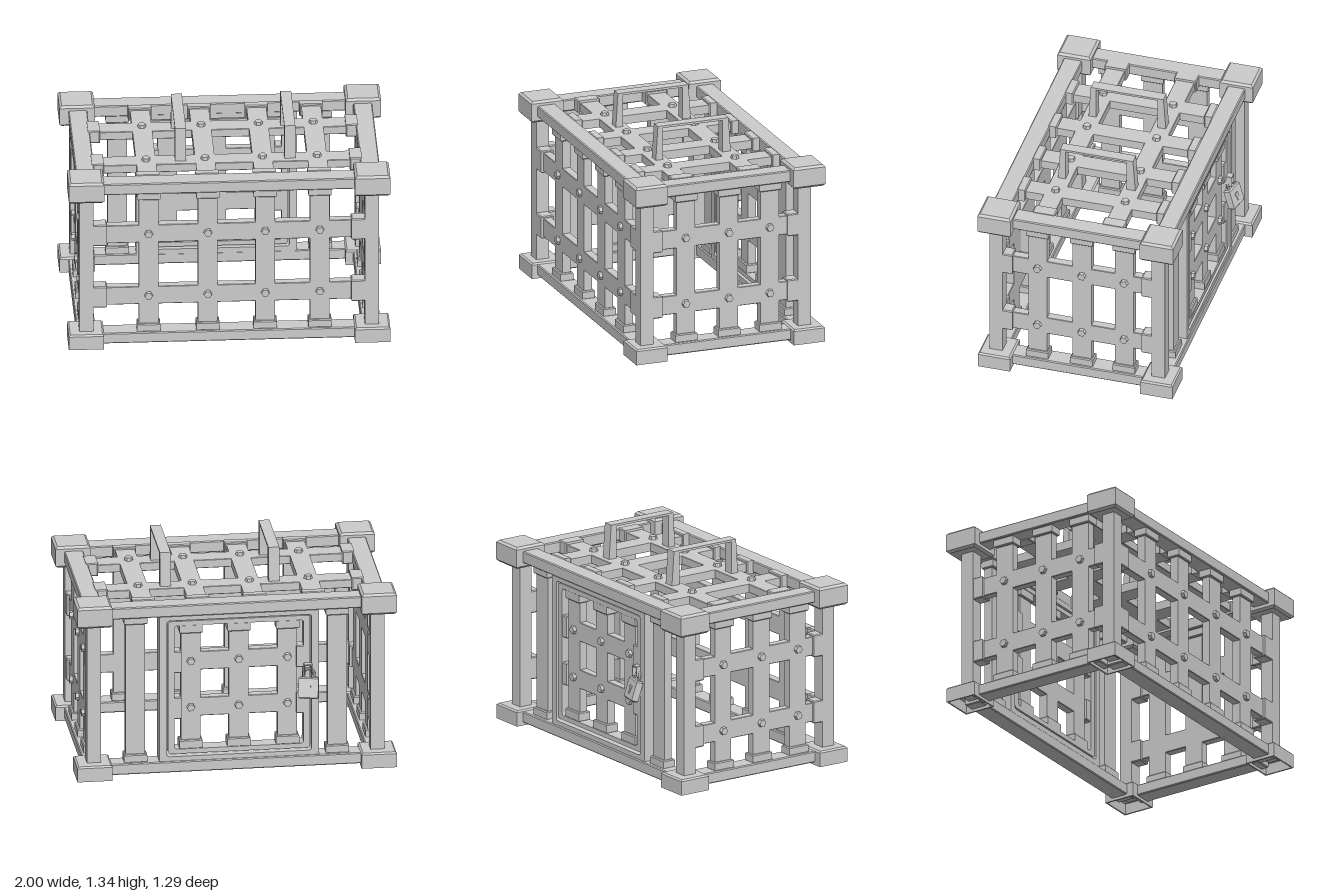
import * as THREE from 'three';

const mat = new THREE.MeshStandardMaterial({ color: 0xcccccc, flatShading: true });

function add(parent, name, geo, x = 0, y = 0, z = 0) {
  const m = new THREE.Mesh(geo, mat);
  m.name = name;
  m.position.set(x, y, z);
  parent.add(m);
  return m;
}

function rect(x0, x1, y0, y1, Type = THREE.Shape) {
  const pts = [[x0, y0], [x1, y0], [x1, y1], [x0, y1]];
  return new Type(pts.map((p) => new THREE.Vector2(...p)));
}

// Box with chamfered edges, centred on the origin
function chamferBox(w, h, d, c = 0.006) {
  const g = new THREE.ExtrudeGeometry(rect(-w / 2 + c, w / 2 - c, -d / 2 + c, d / 2 - c), {
    depth: h - 2 * c, bevelEnabled: true, bevelSize: c, bevelThickness: c, bevelSegments: 1,
  });
  g.rotateX(-Math.PI / 2);
  g.translate(0, -h / 2 + c, 0);
  return g;
}

// Box given by its limits on each axis
function span(parent, name, [x0, x1], [y0, y1], [z0, z1], c) {
  return add(parent, name, chamferBox(x1 - x0, y1 - y0, z1 - z0, c), (x0 + x1) / 2, (y0 + y1) / 2, (z0 + z1) / 2);
}

// Rounded outline for the door frames
function roundRect(x0, x1, y0, y1, r, Type) {
  const s = new Type();
  s.moveTo(x0 + r, y0).lineTo(x1 - r, y0).quadraticCurveTo(x1, y0, x1, y0 + r);
  s.lineTo(x1, y1 - r).quadraticCurveTo(x1, y1, x1 - r, y1).lineTo(x0 + r, y1);
  s.quadraticCurveTo(x0, y1, x0, y1 - r).lineTo(x0, y0 + r).quadraticCurveTo(x0, y0, x0 + r, y0);
  return s;
}

// Flat lattice of crossing bars with end sleeves and hexagonal bolts, facing +z
function lattice(name, us, vs, [u0, u1], [v0, v1], capU = 0.075, capV = 0.055) {
  const g = new THREE.Group();
  g.name = name;
  const w = 0.122, t = 0.055, cw = 0.145, ct = 0.085;
  for (const u of us) {
    span(g, 'uprightBar', [u - w / 2, u + w / 2], [v0, v1], [-t / 2, t / 2], 0.003);
    for (const v of [v0 + capV / 2, v1 - capV / 2])
      add(g, 'barSleeve', chamferBox(cw, capV, ct), u, v, 0);
  }
  for (const v of vs) {
    span(g, 'crossBar', [u0, u1], [v - w / 2, v + w / 2], [-t / 2, t / 2], 0.003);
    for (const u of [u0 + capU / 2, u1 - capU / 2])
      add(g, 'barSleeve', chamferBox(capU, cw, ct), u, v, 0);
  }
  const bolt = new THREE.CylinderGeometry(0.024, 0.028, 0.025, 6);
  bolt.rotateY(Math.PI / 6).rotateX(Math.PI / 2);
  for (const u of us) for (const v of vs) add(g, 'bolt', bolt, u, v, t / 2 + 0.008);
  return g;
}

export function createModel() {
  const root = new THREE.Group();
  root.name = 'cage';

  // Corner posts and corner blocks (lower blocks are hollow underneath)
  for (const sx of [-1, 1]) {
    for (const [zPost, zBlock] of [[0.54, 0.533], [-0.51, -0.517]]) {
      add(root, 'cornerPost', chamferBox(0.088, 1.04, 0.085), sx * 0.888, 0.56, zPost);
      add(root, 'topCorner', chamferBox(0.22, 0.14, 0.215, 0.014), sx * 0.89, 1.09, zBlock);
      add(root, 'bottomCornerLid', chamferBox(0.22, 0.03, 0.208, 0.01), sx * 0.89, 0.085, zBlock);
      const ring = rect(-0.11, 0.11, -0.104, 0.104);
      ring.holes.push(rect(-0.1, 0.1, -0.094, 0.094, THREE.Path));
      const geo = new THREE.ExtrudeGeometry(ring, { depth: 0.09, bevelEnabled: false });
      geo.rotateX(-Math.PI / 2);
      add(root, 'bottomCornerWall', geo, sx * 0.89, 0, zBlock);
    }
  }

  // Top and bottom frame beams
  for (const y of [[0.018, 0.09], [1.055, 1.13]]) {
    span(root, 'frontBeam', [-0.86, 0.86], y, [0.48, 0.598]);
    span(root, 'backBeam', [-0.86, 0.86], y, [-0.575, -0.46]);
    for (const sx of [-1, 1])
      add(root, 'sideBeam', chamferBox(0.118, y[1] - y[0], 0.95), sx * 0.886, (y[0] + y[1]) / 2, 0.012);
  }

  // Barred panels
  const frontUs = [-0.5, -0.132, 0.225, 0.565], rows = [0.335, 0.765], height = [0.085, 1.06];
  const front = lattice('frontPanel', frontUs, rows, [-0.85, 0.85], height, 0.09);
  front.position.z = 0.54;
  const right = lattice('leftSidePanel', [-0.275, 0.012, 0.285], rows, [-0.51, 0.475], height);
  right.rotation.y = Math.PI / 2;
  right.position.x = 0.886;
  const left = lattice('rightSidePanel', [0.32, 0.045, -0.245], rows, [-0.475, 0.51], height);
  left.rotation.y = -Math.PI / 2;
  left.position.x = -0.886;
  const top = lattice('topPanel', frontUs, [-0.26, 0.19], [-0.84, 0.84], [-0.49, 0.465]);
  top.rotation.x = -Math.PI / 2;
  top.position.y = 1.092;
  root.add(front, right, left, top);

  // Back wall: two fixed bars beside the door
  const back = lattice('backBars', [0.637, -0.627], [], [0, 0], height);
  back.rotation.y = Math.PI;
  back.position.z = -0.51;
  root.add(back);

  // Door surround and door, each a rectangular ring
  const frame = (name, [x0, x1, y0, y1], t, depth, z, r) => {
    const s = roundRect(x0, x1, y0, y1, r, THREE.Shape);
    s.holes.push(roundRect(x0 + t, x1 - t, y0 + t * 0.75, y1 - t * 0.75, 0.02, THREE.Path));
    const geo = new THREE.ExtrudeGeometry(s, { depth, bevelEnabled: false, curveSegments: 3 });
    add(root, name, geo, 0, 0, z);
  };
  frame('doorSurround', [-0.52, 0.48, 0.085, 1.06], 0.046, 0.105, -0.565, 0.004);
  frame('doorFrame', [-0.465, 0.425, 0.134, 1.016], 0.04, 0.09, -0.555, 0.02);
  const door = lattice('doorBars', [-0.28, 0.02, 0.325], [0.435, 0.742], [-0.39, 0.43], [0.16, 0.99], 0.05, 0.06);
  door.rotation.y = Math.PI;
  door.position.z = -0.51;
  root.add(door);

  // Two carrying handles on top
  for (const x of [-0.285, 0.395]) {
    const pts = [[0.285, 1.1], [0.27, 1.34], [-0.2, 1.34], [-0.217, 1.1], [-0.16, 1.1], [-0.16, 1.326], [0.235, 1.326], [0.235, 1.1]];
    const s = new THREE.Shape(pts.map((p) => new THREE.Vector2(...p)));
    const geo = new THREE.ExtrudeGeometry(s, { depth: 0.068, bevelEnabled: false });
    geo.translate(0, 0, -0.034);
    add(root, 'handle', geo, x).rotation.y = -Math.PI / 2;
  }

  // Padlock hanging on a staple
  const lock = new THREE.Group();
  lock.name = 'padlock';
  lock.position.set(-0.45, 0.548, -0.598);
  lock.rotation.set(0.3, -0.22, 0, 'YXZ');
  add(lock, 'lockBody', chamferBox(0.125, 0.135, 0.045, 0.008));
  const plate = new THREE.CylinderGeometry(0.016, 0.016, 0.008, 10).rotateX(Math.PI / 2);
  add(lock, 'keyholePlate', plate, 0, 0.01, -0.024);
  add(lock, 'keyholeSlot', new THREE.BoxGeometry(0.012, 0.035, 0.007), 0, -0.012, -0.024);
  add(lock, 'shackle', new THREE.TorusGeometry(0.034, 0.008, 6, 10, Math.PI), 0, 0.085, 0);
  for (const s of [-1, 1])
    add(lock, 'shackleLeg', new THREE.CylinderGeometry(0.008, 0.008, 0.03, 6), s * 0.034, 0.073, 0);
  root.add(lock);
  for (const s of [-1, 1])
    span(root, 'staple', [-0.453 + s * 0.022, -0.447 + s * 0.022], [0.63, 0.7], [-0.592, -0.55], 0.002);
  span(root, 'staplePin', [-0.475, -0.425], [0.69, 0.7], [-0.592, -0.55], 0.002);

  return root;
}
